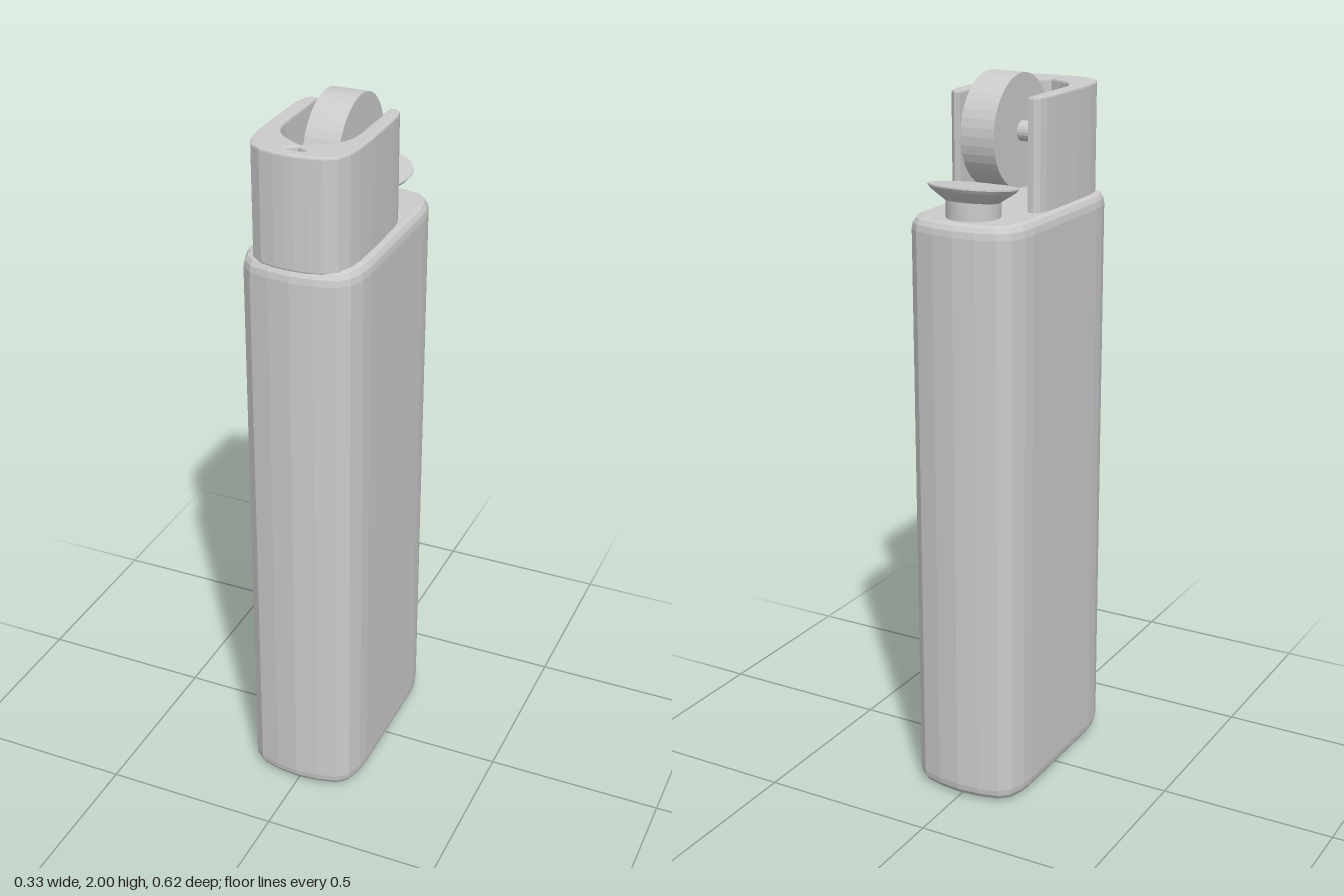
import * as THREE from 'three';

const material = new THREE.MeshStandardMaterial({ color: 0xcccccc, flatShading: true });

function add(group, name, geometry) {
  const mesh = new THREE.Mesh(geometry, material);
  mesh.name = name;
  group.add(mesh);
  return mesh;
}

const points = (list) => list.map(([x, z]) => new THREE.Vector2(x, z));
const mirrored = (half) => half.concat(half.map(([x, z]) => [-x, z]).reverse());

// Extrudes a plan outline (x, z) upright between two heights, with rounded rims
function upright(shape, bottom, top, bevel, rim, segments) {
  const geometry = new THREE.ExtrudeGeometry(shape, {
    depth: top - bottom - 2 * rim,
    bevelSize: bevel,
    bevelOffset: -bevel,
    bevelThickness: rim,
    bevelSegments: segments,
    curveSegments: 8,
  });
  return geometry.rotateX(Math.PI / 2).translate(0, top - rim, 0);
}

export function createModel() {
  const model = new THREE.Group();
  model.name = 'lighter';

  // Tall body with faceted rounded ends
  const end = [[0.167, 0.18], [0.163, 0.22], [0.148, 0.265], [0.118, 0.292], [0.062, 0.306], [0, 0.312]];
  const rightSide = end.slice().reverse().map(([x, z]) => [x, -z]).concat(end);
  const outline = rightSide.concat(rightSide.slice(1, -1).reverse().map(([x, z]) => [-x, z]));
  add(model, 'body', upright(new THREE.Shape(points(outline)), 0.006, 1.65, 0.022, 0.035, 3));

  // Slightly raised base
  const base = points(outline.map(([x, z]) => [x * 0.78, z * 0.82]));
  add(model, 'base', upright(new THREE.Shape(base), 0, 0.02, 0.006, 0.005, 1));

  // U-shaped guard, open at the back
  const outer = [[0.101, -0.094], [0.118, -0.095], [0.132, -0.083], [0.138, -0.06], [0.141, -0.02],
    [0.142, 0.11], [0.14, 0.19], [0.133, 0.235], [0.117, 0.27], [0.085, 0.291], [0.045, 0.3], [0.012, 0.303]];
  const inner = [[0.101, 0.1], [0.097, 0.135], [0.085, 0.165], [0.064, 0.19], [0.035, 0.21]];
  const guardPoints = mirrored(outer)
    .concat(inner.map(([x, z]) => [-x, z]), [[0, 0.228]], inner.slice().reverse());
  const guardShape = new THREE.Shape(points(guardPoints));
  const notch = [[0, 0.243], [0.022, 0.254], [0.028, 0.264], [0.014, 0.268]];
  const notchPoints = notch.concat(notch.slice(1).reverse().map(([x, z]) => [-x, z]));
  guardShape.holes.push(new THREE.Path(points(notchPoints)));
  add(model, 'guard', upright(guardShape, 1.642, 1.95, 0.005, 0.006, 2));

  // Floor of the small notch in the guard's top
  const floor = add(model, 'notchFloor', new THREE.BoxGeometry(0.075, 0.02, 0.04));
  floor.position.set(0, 1.918, 0.257);

  // Spark wheel on its axle
  const wheel = add(model, 'sparkWheel', new THREE.CylinderGeometry(0.15, 0.15, 0.098, 40));
  const axle = add(model, 'axle', new THREE.CylinderGeometry(0.027, 0.027, 0.21, 20));
  for (const part of [wheel, axle]) {
    part.rotation.z = Math.PI / 2;
    part.position.set(0, 1.85, -0.03);
  }

  // Thumb button: stem and flared, tilted cap
  const stem = add(model, 'buttonStem', new THREE.CylinderGeometry(0.072, 0.072, 0.06, 40));
  stem.position.set(0, 1.67, -0.2);
  const profile = points([[0, -0.04], [0.072, -0.04], [0.112, -0.012], [0.119, -0.004], [0.119, 0], [0, 0]]);
  const cap = add(model, 'buttonCap', new THREE.LatheGeometry(profile, 48));
  cap.scale.z = 0.93;
  cap.rotation.x = 0.13;
  cap.position.set(0, 1.73, -0.2);

  return model;
}
